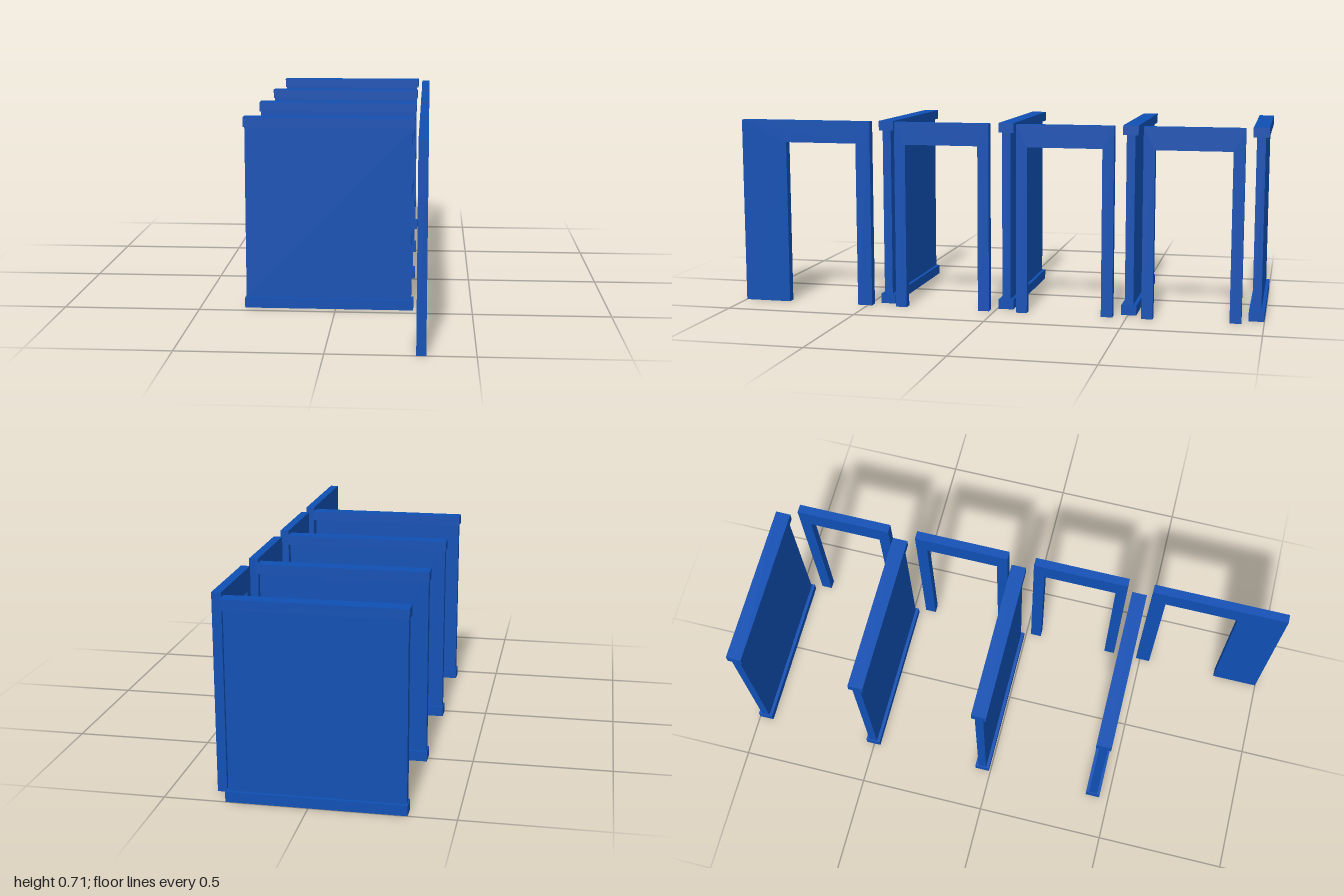
import * as THREE from 'three';

const HEIGHT = 0.708;
const LINTEL_Y = 0.624;

export function createModel() {
  const model = new THREE.Group();
  const blue = new THREE.MeshStandardMaterial({ color: 0x0f50b4 });
  blue.name = 'blue';

  const box = (name, parent, x0, x1, y0, y1, depth) => {
    const mesh = new THREE.Mesh(new THREE.BoxGeometry(x1 - x0, y1 - y0, depth), blue);
    mesh.name = name;
    mesh.position.set((x0 + x1) / 2, (y0 + y1) / 2, 0);
    parent.add(mesh);
  };

  // Partition walls: a thin panel held between a bottom and a top rail
  for (let i = 0; i < 4; i++) {
    const partition = new THREE.Group();
    partition.name = `partition${i + 1}`;
    box('panel', partition, -0.331, 0.277, 0.037, 0.672, 0.032);
    box('bottomRail', partition, -0.335, 0.285, 0, 0.037, 0.057);
    box('topRail', partition, -0.335, 0.285, 0.672, HEIGHT, 0.057);
    partition.position.z = 0.434 - i * 0.4685;
    model.add(partition);
  }

  // Door frames: [front edge, opening front, opening back, back edge] along z
  const frames = [
    [1, 0.82, 0.54, 0.483],
    [0.386, 0.344, 0.063, 0.02],
    [-0.084, -0.126, -0.406, -0.449],
    [-0.556, -0.598, -0.877, -0.919],
  ];
  frames.forEach(([front, openFront, openBack, back], i) => {
    const outline = new THREE.Shape([
      [back, 0], [openBack, 0], [openBack, LINTEL_Y], [openFront, LINTEL_Y],
      [openFront, 0], [front, 0], [front, HEIGHT], [back, HEIGHT],
    ].map(([z, y]) => new THREE.Vector2(z, y)));
    const geometry = new THREE.ExtrudeGeometry(outline, { depth: 0.033, bevelEnabled: false });
    geometry.rotateY(-Math.PI / 2);
    const frame = new THREE.Mesh(geometry, blue);
    frame.name = `doorFrame${i + 1}`;
    frame.position.x = 0.335;
    model.add(frame);
  });

  return model;
}
